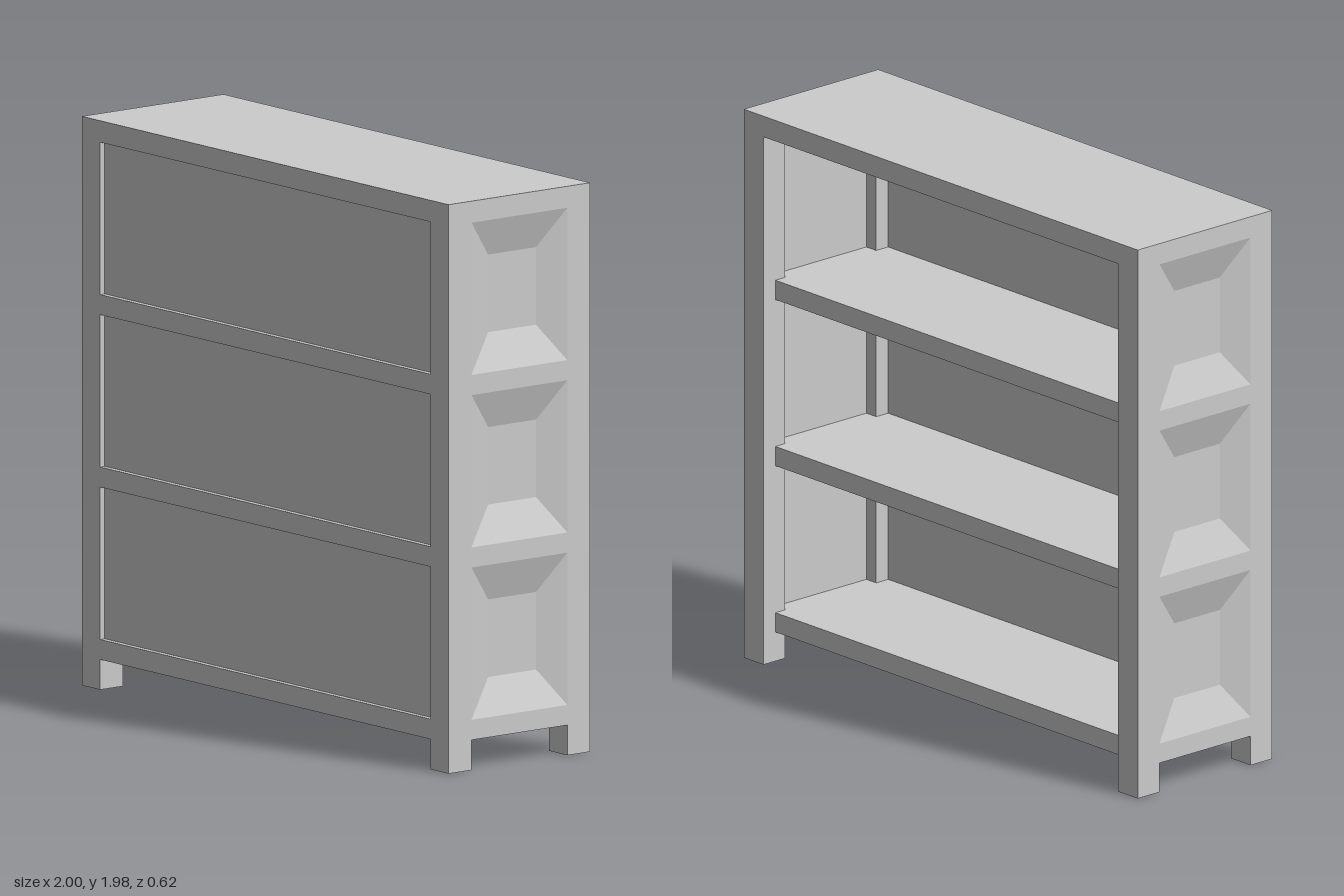
import * as THREE from 'three';

const material = new THREE.MeshStandardMaterial({ color: 0xcccccc, flatShading: true });

// Heights of the underside of each shelf; every bay sits above one
const SHELVES = [0.105, 0.705, 1.305];
const THICK = 0.07;
const BAY = 0.53;
const TOP = 1.905;

// Box given by its minimum and maximum corners
function box(name, [x0, y0, z0], [x1, y1, z1]) {
  const mesh = new THREE.Mesh(new THREE.BoxGeometry(x1 - x0, y1 - y0, z1 - z0), material);
  mesh.position.set((x0 + x1) / 2, (y0 + y1) / 2, (z0 + z1) / 2);
  mesh.name = name;
  return mesh;
}

// Sunken bevelled field facing +x: outer rim, inner floor, four slopes
function sunkenField(halfDepth, height, inset, rise, sink) {
  const rect = (x, z, y0, y1) => [x, y0, z, x, y0, -z, x, y1, -z, x, y1, z];
  const points = [
    ...rect(0, halfDepth, 0, height),
    ...rect(-sink, halfDepth - inset, rise, height - rise),
  ];
  const index = [4, 5, 6, 4, 6, 7];
  for (let i = 0; i < 4; i++) {
    const j = (i + 1) % 4;
    index.push(i, j, j + 4, i, j + 4, i + 4);
  }
  const indexed = new THREE.BufferGeometry();
  indexed.setAttribute('position', new THREE.Float32BufferAttribute(points, 3));
  indexed.setIndex(index);
  const geometry = indexed.toNonIndexed();
  geometry.computeVertexNormals();
  return geometry;
}

// One end of the bookcase, built on +x
function createSide(name) {
  const side = new THREE.Group();
  side.name = name;
  side.add(box('backPost', [0.9, 0, -0.31], [1, TOP, -0.21]));
  side.add(box('frontPost', [0.9, 0, 0.21], [1, TOP, 0.31]));
  const field = sunkenField(0.21, BAY, 0.105, 0.13, 0.04);
  for (const y of SHELVES) {
    side.add(box('sideRail', [0.9, y, -0.21], [1, y + THICK, 0.21]));
    side.add(box('innerPanel', [0.95, y + THICK, -0.21], [0.958, y + THICK + BAY, 0.21]));
    const panel = new THREE.Mesh(field, material);
    panel.name = 'sidePanel';
    panel.position.set(1, y + THICK, 0);
    side.add(panel);
  }
  return side;
}

export function createModel() {
  const model = new THREE.Group();
  model.name = 'bookcase';

  model.add(box('top', [-1, TOP, -0.31], [1, 1.98, 0.31]));

  // Two identical ends, the second turned around
  const left = createSide('leftSide');
  const right = createSide('rightSide');
  right.rotation.y = Math.PI;
  model.add(left, right);

  // Shelves, open to the back, each with a closing panel above at the front
  for (const y of SHELVES) {
    model.add(box('shelf', [-0.9, y, -0.255], [0.9, y + THICK, 0.31]));
    model.add(box('frontPanel', [-0.9, y + THICK, 0.265], [0.9, y + THICK + BAY, 0.29]));
  }
  return model;
}
